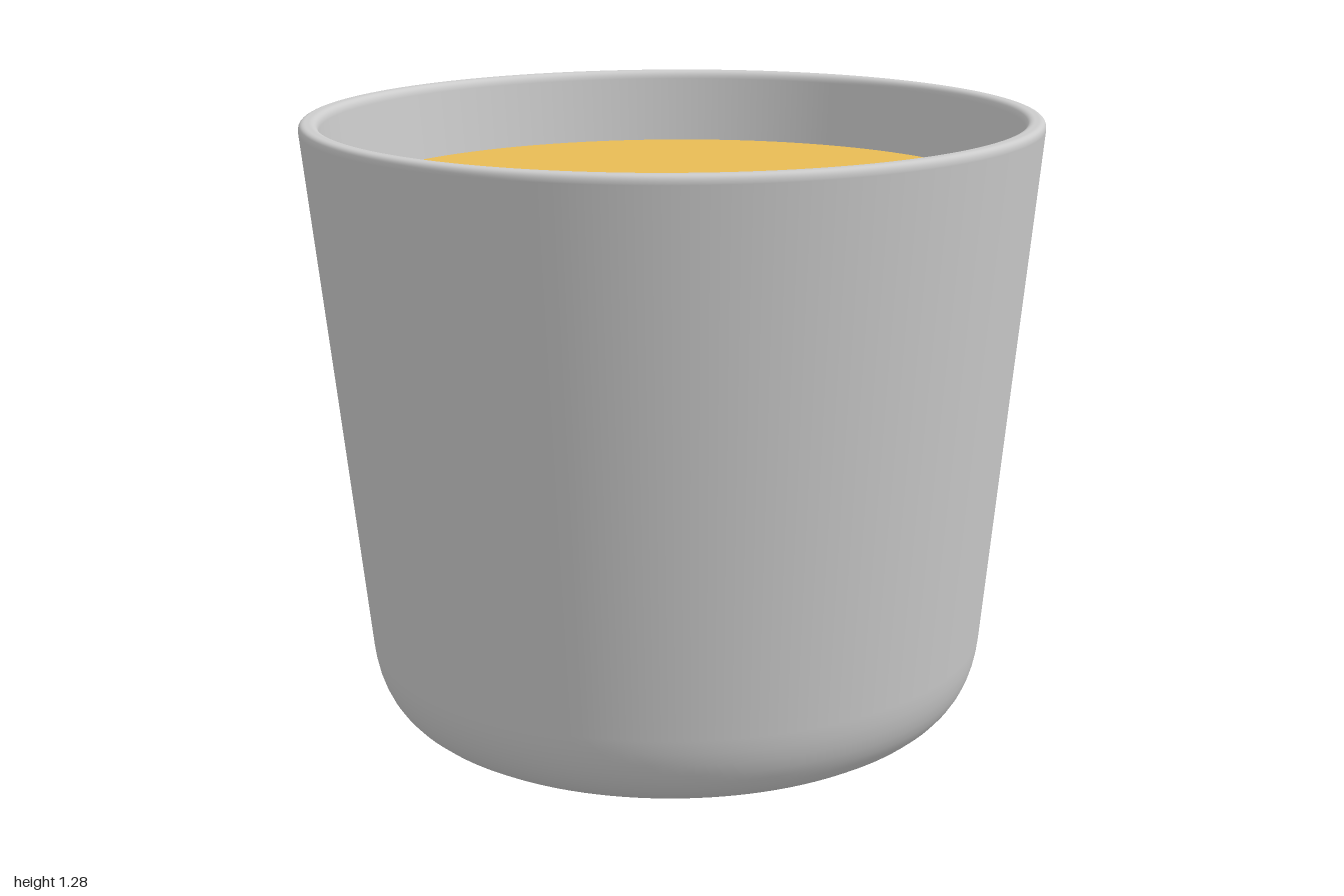
import * as THREE from 'three';

const V2 = (x, y) => new THREE.Vector2(x, y);
const V3 = (z, y) => new THREE.Vector3(0, y, z);
const CUP_Z = 0.24;

function mesh(name, geometry, material) {
  const m = new THREE.Mesh(geometry, material);
  m.name = name;
  return m;
}

// Closed wall profile: underside, outer wall, rounded rim, inner wall, inner floor
function cupGeometry() {
  const path = new THREE.Path();
  path.moveTo(0, 0.004);
  path.lineTo(0.3, 0.004);
  path.lineTo(0.47, 0.004);
  path.quadraticCurveTo(0.635, 0, 0.651, 0.18);
  path.lineTo(0.704, 0.73);
  path.lineTo(0.756, 1.262);
  path.quadraticCurveTo(0.757, 1.28, 0.742, 1.28);
  path.lineTo(0.734, 1.28);
  path.quadraticCurveTo(0.718, 1.28, 0.716, 1.262);
  path.lineTo(0.664, 0.73);
  path.lineTo(0.611, 0.2);
  path.quadraticCurveTo(0.6, 0.05, 0.45, 0.05);
  path.lineTo(0, 0.05);
  return new THREE.LatheGeometry(path.getPoints(12), 128);
}

// Rounded-rectangle sections swept along a loop, flaring where they meet the wall
function handleGeometry() {
  const curve = new THREE.CatmullRomCurve3([
    V3(-0.47, 1.005), V3(-0.53, 1.028), V3(-0.6, 1.045), V3(-0.72, 1.083),
    V3(-0.805, 1.068), V3(-0.878, 1.015), V3(-0.935, 0.935), V3(-0.957, 0.845),
    V3(-0.94, 0.768), V3(-0.885, 0.71), V3(-0.72, 0.6), V3(-0.55, 0.492),
    V3(-0.49, 0.468), V3(-0.42, 0.46),
  ]);
  const steps = 110, sides = 40, length = curve.getLength();
  const pos = [], index = [];
  const soft = (v) => Math.sign(v) * Math.sqrt(Math.abs(v));
  for (let i = 0; i <= steps; i++) {
    const u = i / steps;
    const p = curve.getPointAt(u), t = curve.getTangentAt(u);
    const fromEnd = Math.min(u, 1 - u) * length;
    const flare = Math.pow(Math.max(0, 1 - fromEnd / 0.14), 2);
    // Outward direction in the handle's plane, turned upright at the wall
    const n = new THREE.Vector3(0, -t.z, t.y)
      .lerp(new THREE.Vector3(0, u < 0.5 ? 1 : -1, 0), Math.min(1, flare * 2)).normalize();
    const w = 0.094 + 0.045 * flare, h = 0.042 + 0.1 * flare;
    for (let j = 0; j < sides; j++) {
      const a = (j / sides) * Math.PI * 2;
      const o = h * soft(Math.sin(a));
      pos.push(w * soft(Math.cos(a)), p.y + n.y * o, p.z + n.z * o);
      if (i < steps) {
        const k = i * sides + j, l = i * sides + ((j + 1) % sides);
        index.push(k, k + sides, l, l, k + sides, l + sides);
      }
    }
  }
  const g = new THREE.BufferGeometry();
  g.setAttribute('position', new THREE.Float32BufferAttribute(pos, 3));
  g.setIndex(index);
  g.computeVertexNormals();
  return g;
}

export function createModel() {
  const group = new THREE.Group();
  group.name = 'cup';
  const grey = new THREE.MeshStandardMaterial({ color: 0xcccccc });
  const drink = new THREE.MeshStandardMaterial({ color: 0xe8bb55 });

  const body = mesh('body', cupGeometry(), grey);
  body.position.z = CUP_Z;

  // Drink surface, just touching the inner wall
  const liquid = mesh('liquid', new THREE.CircleGeometry(0.704, 128).rotateX(-Math.PI / 2), drink);
  liquid.position.set(0, 1.12, CUP_Z);

  group.add(body, liquid, mesh('handle', handleGeometry(), grey));
  return group;
}
